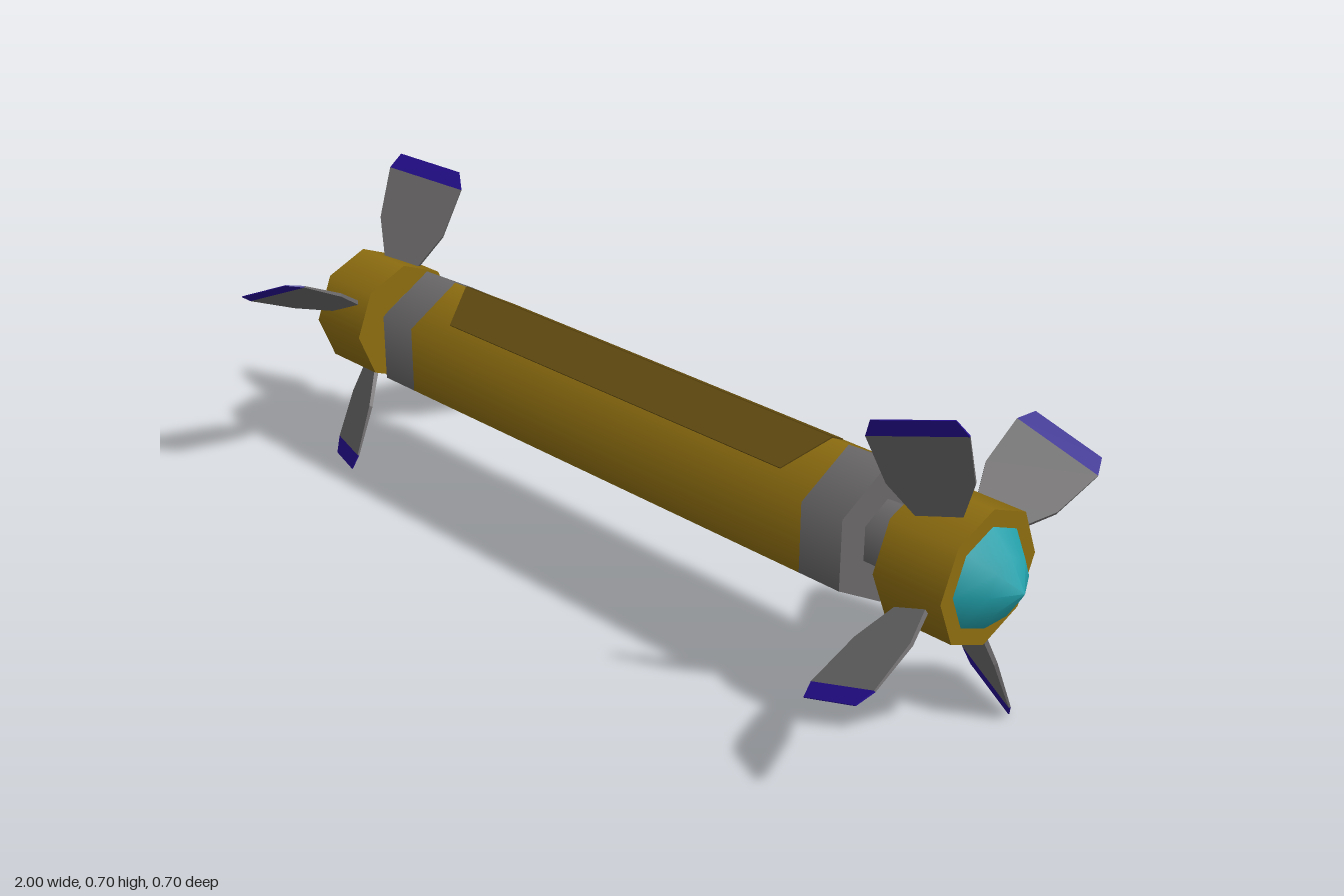
import * as THREE from 'three';

const AXIS_Y = 0.355;

const mat = (name, color) => {
  const m = new THREE.MeshStandardMaterial({ color });
  m.name = name;
  return m;
};

export function createModel() {
  const gold = mat('gold', 0x8c6c10);
  const darkGold = mat('dark gold', 0x614a0f);
  const grey = mat('grey', 0x696767);
  const violet = mat('violet', 0x250e90);
  const teal = mat('teal', 0x22a0aa);

  const model = new THREE.Group();
  model.name = 'twinRotorTube';
  const core = new THREE.Group();
  core.name = 'core';
  core.position.y = AXIS_Y;
  model.add(core);

  const add = (parent, name, geometry, material) => {
    const mesh = new THREE.Mesh(geometry, material);
    mesh.name = name;
    parent.add(mesh);
    return mesh;
  };

  // Prism lying along x from x0 to x1, with one edge pointing straight up
  const prism = (sides, radius, x0, x1) =>
    new THREE.CylinderGeometry(radius, radius, x1 - x0, sides)
      .rotateY(Math.PI / 2)
      .rotateZ(-Math.PI / 2)
      .translate((x0 + x1) / 2, 0, 0);

  // Flat plate whose half width follows the rows [radius, half width, half thickness]
  const plate = (rows) => {
    const n = rows.length - 1;
    const g = new THREE.BoxGeometry(2, n, 2, 1, n, 1);
    const p = g.attributes.position;
    for (let i = 0; i < p.count; i++) {
      const [r, w, t] = rows[Math.round(p.getY(i) + n / 2)];
      p.setXYZ(i, p.getX(i) * w, r, p.getZ(i) * t);
    }
    const flat = g.toNonIndexed();
    flat.computeVertexNormals();
    return flat;
  };

  // Six-sided hull
  add(core, 'hull', prism(6, 0.15, -0.58, 0.58), gold);

  // Dark panel folded over the top ridge
  const slope = 0.09 / Math.cos(Math.PI / 6);
  const outline = new THREE.Shape([
    new THREE.Vector2(-0.49, -slope),
    new THREE.Vector2(0.49, -slope),
    new THREE.Vector2(0.54, 0),
    new THREE.Vector2(-0.54, 0),
  ]);
  const panelGeo = new THREE.ExtrudeGeometry(outline, { depth: 0.003, bevelEnabled: false })
    .rotateX(-Math.PI / 3)
    .translate(0, 0.15, 0);
  for (const turn of [0, Math.PI]) {
    add(core, 'topPanel', panelGeo, darkGold).rotation.y = turn;
  }

  // Shared end geometries
  const bandGeo = prism(6, 0.15, 0.58, 0.68);
  const shaftGeo = prism(6, 0.072, 0.67, 0.77);
  const hubGeo = prism(8, 0.14, 0.765, 0.92);
  const noseProfile = [[0.105, 0.92], [0.06, 0.965], [0, 1]].map(
    ([r, h]) => new THREE.Vector2(r, h)
  );
  const noseGeo = new THREE.LatheGeometry(noseProfile, 8).rotateZ(-Math.PI / 2);
  const bladeGeo = plate([
    [0.1, 0.036, 0.005],
    [0.13, 0.045, 0.005],
    [0.212, 0.082, 0.004],
    [0.33, 0.094, 0.002],
  ]);
  const tipGeo = plate([
    [0.33, 0.094, 0.002],
    [0.368, 0.077, 0.001],
  ]);

  // Each end: band, shaft, hub, nose and four pitched blades
  for (const [name, turn] of [['leftEnd', 0], ['rightEnd', Math.PI]]) {
    const end = new THREE.Group();
    end.name = name;
    end.rotation.y = turn;
    core.add(end);
    add(end, 'band', bandGeo, grey);
    add(end, 'shaft', shaftGeo, grey);
    add(end, 'hub', hubGeo, gold);
    add(end, 'nose', noseGeo, teal);

    for (let i = 0; i < 4; i++) {
      const blade = new THREE.Group();
      blade.name = 'blade';
      blade.position.x = 0.84;
      blade.rotation.set(0.415 + (i * Math.PI) / 2, 0.435, 0);
      add(blade, 'bladePlate', bladeGeo, grey);
      add(blade, 'bladeTip', tipGeo, violet);
      end.add(blade);
    }
  }

  return model;
}
